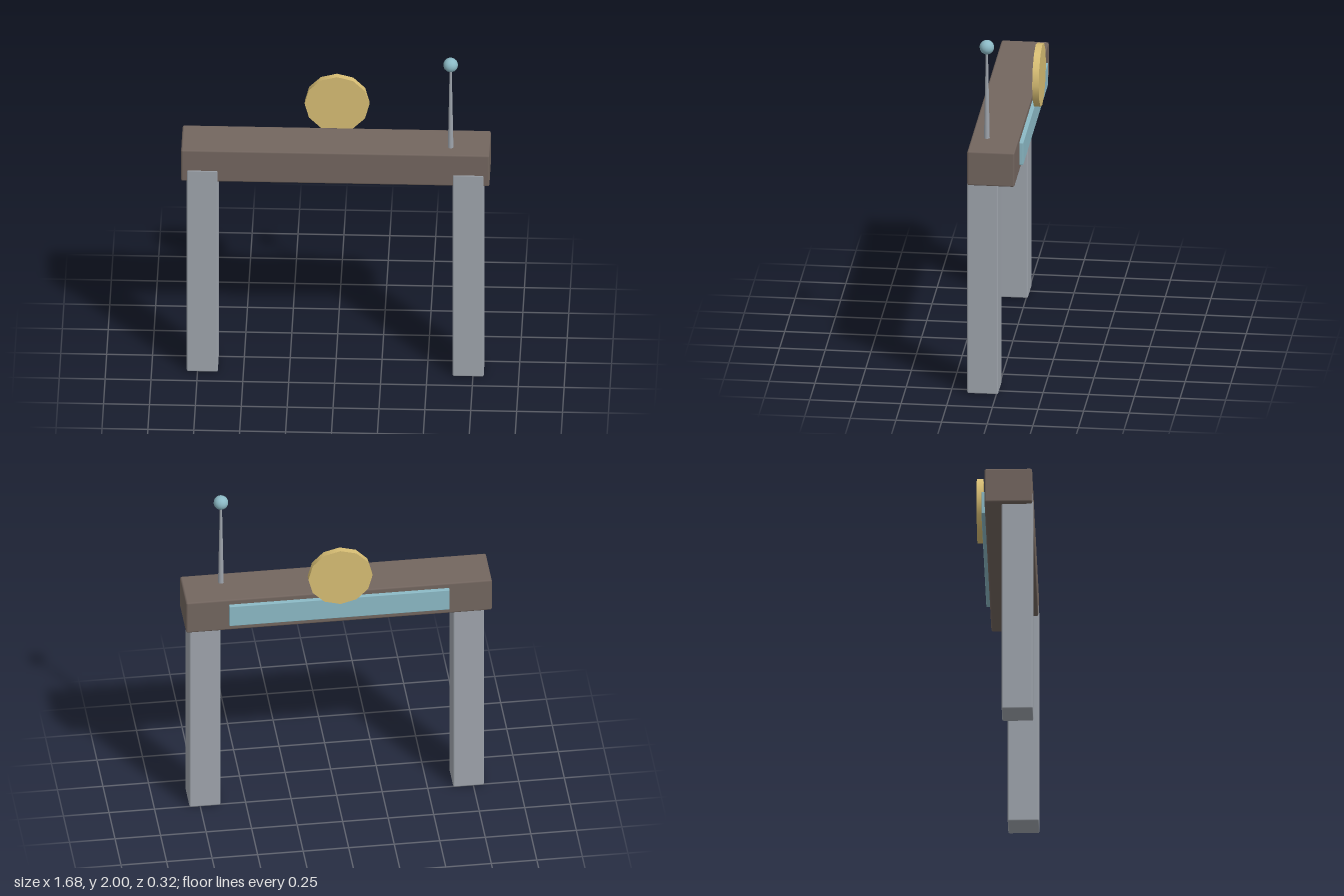
import * as THREE from 'three';
import { RoundedBoxGeometry } from 'three/addons/geometries/RoundedBoxGeometry.js';

export function createModel() {
  const model = new THREE.Group();
  model.name = 'gate';

  const material = (name, color) => {
    const m = new THREE.MeshStandardMaterial({ color });
    m.name = name;
    return m;
  };
  const brown = material('brown beam', 0x73665f);
  const grey = material('grey metal', 0x9fa5ad);
  const blue = material('pale blue', 0x8cbac6);
  const gold = material('gold', 0xd8be74);

  const add = (name, geometry, mat, x, y, z) => {
    const mesh = new THREE.Mesh(geometry, mat);
    mesh.name = name;
    mesh.position.set(x, y, z);
    model.add(mesh);
    return mesh;
  };

  // Two square posts, set slightly proud of the beam's front
  for (const [name, side] of [['leftPost', 1], ['rightPost', -1]]) {
    add(name, new RoundedBoxGeometry(0.17, 1.3, 0.17, 1, 0.008), grey, side * 0.724, 0.653, 0.075);
  }

  // Cross beam
  add('beam', new RoundedBoxGeometry(1.68, 0.2, 0.26, 1, 0.01), brown, 0, 1.33, 0.027);

  // Long panel on the back of the beam
  add('backPanel', new RoundedBoxGeometry(1.21, 0.13, 0.03, 1, 0.004), blue, 0, 1.335, -0.11);

  // Twelve-sided disc standing behind the beam
  const disc = add('disc', new THREE.CylinderGeometry(0.176, 0.176, 0.036, 12), gold, 0, 1.565, -0.143);
  disc.rotation.x = Math.PI / 2;

  // Tapered antenna with a ball tip
  add('antenna', new THREE.CylinderGeometry(0.006, 0.016, 0.52, 10), grey, 0.626, 1.68, 0.072);
  add('antennaBall', new THREE.SphereGeometry(0.04, 16, 12), blue, 0.626, 1.96, 0.072);

  return model;
}
